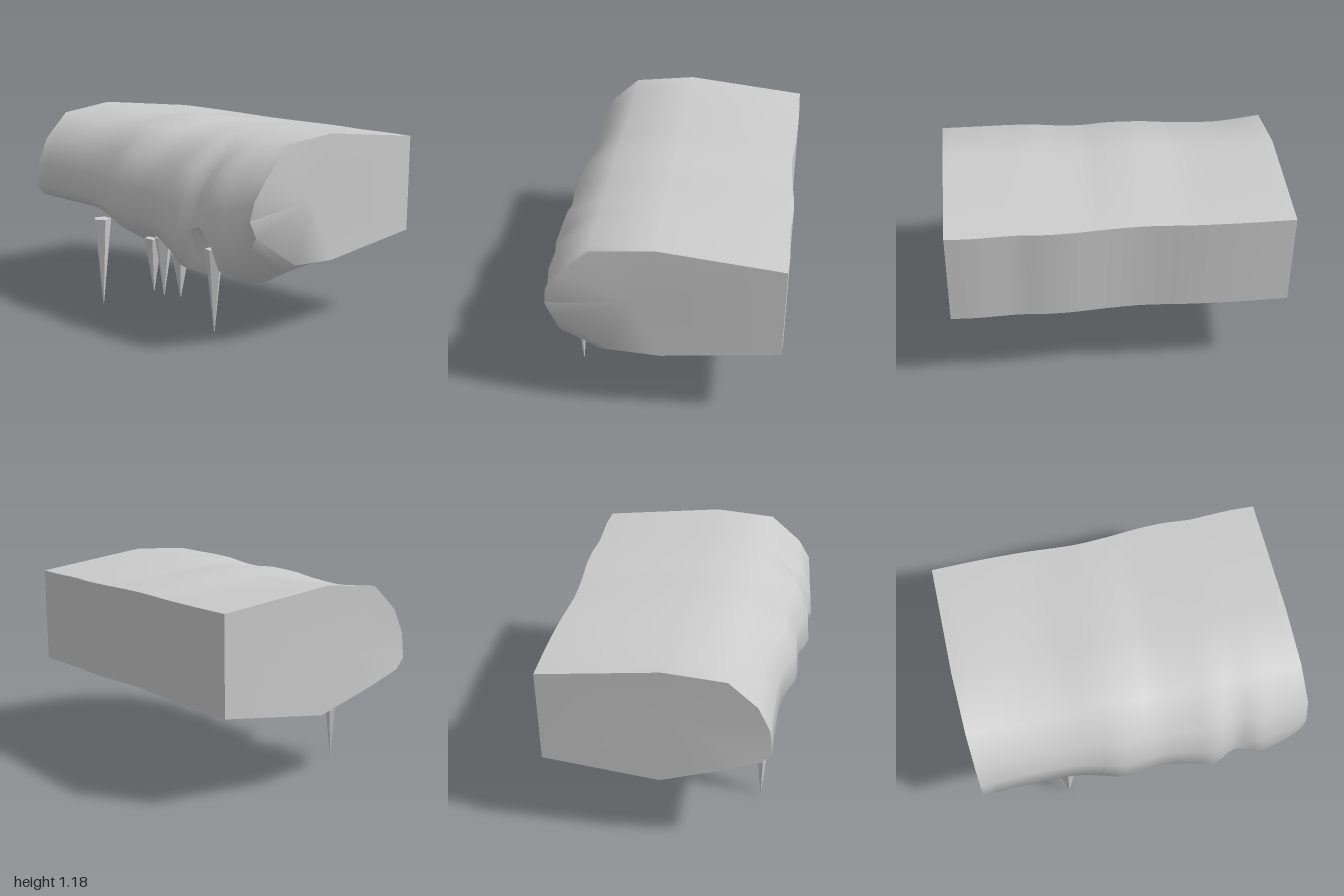
import * as THREE from 'three';
import { toCreasedNormals } from 'three/addons/utils/BufferGeometryUtils.js';

// Cross-sections of the ledge along x.
// [x, back z, top y, shoulder y, lip z, lip y, under z, under y, belly z, belly y, mid y]
const sections = [
  [-0.98, -0.685, 1.185, 1.15, 0.63, 0.70, 0.57, 0.64, 0.34, 0.56, 0.45],
  [-0.70, -0.690, 1.175, 1.12, 0.62, 0.70, 0.56, 0.64, 0.34, 0.56, 0.46],
  [-0.42, -0.685, 1.165, 1.13, 0.62, 0.69, 0.56, 0.63, 0.34, 0.55, 0.47],
  [-0.26, -0.675, 1.180, 1.145, 0.645, 0.67, 0.58, 0.59, 0.34, 0.49, 0.46],
  [-0.14, -0.670, 1.190, 1.15, 0.675, 0.66, 0.60, 0.56, 0.35, 0.41, 0.42],
  [0.00, -0.675, 1.185, 1.15, 0.67, 0.66, 0.59, 0.56, 0.35, 0.41, 0.42],
  [0.13, -0.685, 1.175, 1.14, 0.66, 0.66, 0.58, 0.55, 0.36, 0.44, 0.44],
  [0.28, -0.698, 1.180, 1.145, 0.675, 0.63, 0.60, 0.49, 0.38, 0.40, 0.44],
  [0.43, -0.700, 1.185, 1.16, 0.697, 0.60, 0.61, 0.42, 0.39, 0.32, 0.43],
  [0.57, -0.690, 1.190, 1.165, 0.655, 0.69, 0.50, 0.62, 0.30, 0.47, 0.44],
  [0.69, -0.694, 1.190, 1.165, 0.685, 0.63, 0.61, 0.45, 0.39, 0.35, 0.44],
  [0.83, -0.700, 1.190, 1.165, 0.665, 0.64, 0.59, 0.48, 0.38, 0.375, 0.45],
  [0.975, -0.695, 1.190, 1.165, 0.645, 0.78, 0.60, 0.68, 0.30, 0.48, 0.46],
];
// How far each profile point of the two ends sits off its section in x
const leftShift = [-0.01, -0.02, -0.01, 0.005, 0.015, 0.02, 0.02, 0.01, 0, 0];
const rightShift = [0, 0, 0.005, 0.01, 0.025, 0.01, -0.01, -0.008, 0, 0];

function profile([x, zb, yt, ys, zl, yl, zu, yu, zc, yc, ym], s) {
  const shift = s === 0 ? leftShift : s === sections.length - 1 ? rightShift : null;
  return [
    [zb + 0.01, 0.53], [zb, 1.10], [0.02, yt], [0.38, ys],
    [zl - 0.085, 1.0], [zl - 0.015, (1.0 + yl) / 2 + 0.0],
    [zl, yl], [zu, yu], [zc, yc], [0, ym],
  ].map(([z, y], i) => new THREE.Vector3(x + (shift ? shift[i] : 0), y, z));
}

function ledgeGeometry() {
  const rings = sections.map(profile);
  const n = rings[0].length, steps = (rings.length - 1) * 3;
  // Run a smooth curve along the ledge through every profile point
  const rails = Array.from({ length: n }, (_, i) =>
    new THREE.CatmullRomCurve3(rings.map((r) => r[i]), false, 'centripetal'));
  const pos = [], index = [];
  for (let s = 0; s <= steps; s++)
    for (const rail of rails) pos.push(...rail.getPoint(s / steps).toArray());
  for (let s = 0; s < steps; s++)
    for (let i = 0; i < n; i++) {
      const a = s * n + i, b = s * n + (i + 1) % n;
      index.push(a, b, a + n, b, b + n, a + n);
    }
  // Close both ends with a fan around the middle
  for (const [s, ring] of [[0, rings[0]], [steps, rings[rings.length - 1]]]) {
    const centre = pos.length / 3;
    const c = ring.reduce((sum, p) => sum.add(p), new THREE.Vector3()).divideScalar(n);
    pos.push(c.x, c.y, c.z);
    for (let i = 0; i < n; i++) {
      const a = s * n + i, b = s * n + (i + 1) % n;
      if (s === 0) index.push(centre, b, a);
      else index.push(centre, a, b);
    }
  }
  const g = new THREE.BufferGeometry();
  g.setAttribute('position', new THREE.Float32BufferAttribute(pos, 3));
  g.setIndex(index);
  return toCreasedNormals(g, 0.95);
}

export function createModel() {
  const model = new THREE.Group();
  model.name = 'snowLedge';

  const snow = new THREE.Mesh(ledgeGeometry(),
    new THREE.MeshStandardMaterial({ color: 0xcccccc }));
  snow.name = 'snowBank';
  model.add(snow);

  // Icicles: [x, top y, tip y, radius]
  const ice = new THREE.MeshStandardMaterial({ color: 0xcccccc, flatShading: true });
  const icicles = new THREE.Group();
  icicles.name = 'icicles';
  [
    [-0.445, 0.555, 0.01, 0.056],
    [0.04, 0.515, 0.19, 0.055],
    [0.13, 0.535, 0.18, 0.056],
    [0.275, 0.46, 0.20, 0.052],
    [0.56, 0.54, 0.05, 0.054],
  ].forEach(([x, top, tip, r], i) => {
    const cone = new THREE.Mesh(new THREE.CylinderGeometry(r, 0.002, top - tip, 5), ice);
    cone.name = 'icicle' + (i + 1);
    cone.position.set(x, (top + tip) / 2, 0.52);
    cone.rotation.y = i * 0.7;
    icicles.add(cone);
  });
  model.add(icicles);
  return model;
}
